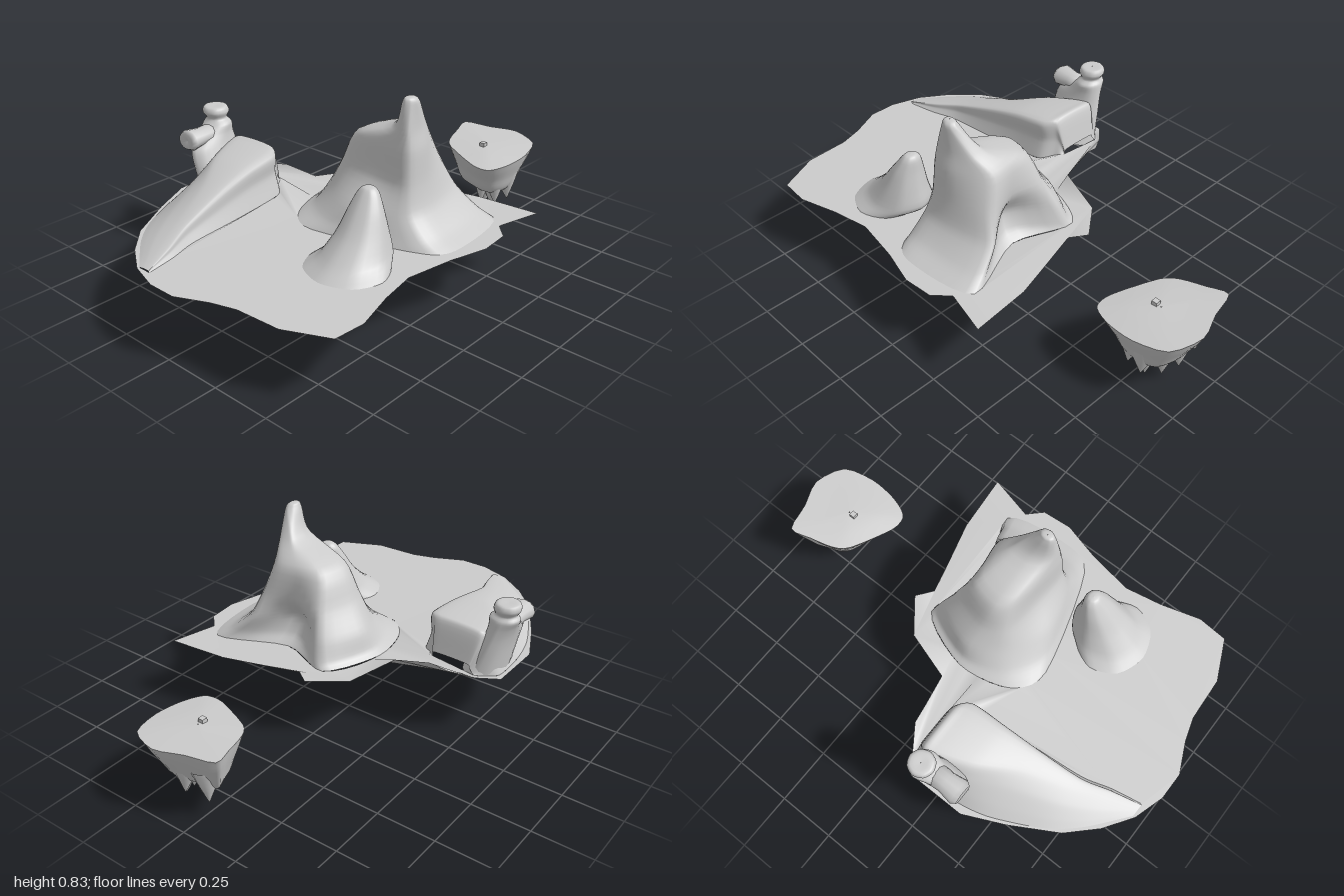
import * as THREE from 'three';

const material = new THREE.MeshStandardMaterial({ color: 0xcccccc, side: THREE.DoubleSide });
const BASE = 0.285;
const V = (x, y, z) => new THREE.Vector3(x, y, z);

// The ground lifts slightly along its back right edge
function groundY(x, z) {
  return BASE + 0.06 * Math.exp(-(x ** 2 + (z + 0.36) ** 2) / 0.03)
    + 0.018 * Math.exp(-((x - 0.28) ** 2 + (z + 0.05) ** 2) / 0.03);
}

function smoothRow(points, closed, n) {
  const curve = new THREE.CatmullRomCurve3(points, closed, 'catmullrom', 0.4);
  const row = curve.getPoints(n);
  if (closed) row.pop();
  return row;
}

// Smooth surface through rings (or open sections); returns its resampled rows
function addLoft(group, name, rings, closed = true, around = 32, along = 20) {
  const coarse = rings.map((r) => smoothRow(r, closed, around));
  const columns = coarse[0].map((_, i) => smoothRow(coarse.map((r) => r[i]), false, along));
  const rows = columns[0].map((_, j) => columns.map((c) => c[j]));
  const n = columns.length;
  const index = [];
  for (let j = 0; j < rows.length - 1; j++) {
    for (let i = 0; i < (closed ? n : n - 1); i++) {
      const k = (i + 1) % n;
      const a = j * n + i, b = j * n + k, c = a + n, d = b + n;
      index.push(a, c, b, b, c, d);
    }
  }
  const geometry = new THREE.BufferGeometry().setFromPoints(rows.flat());
  geometry.setIndex(index);
  geometry.computeVertexNormals();
  addMesh(group, name, geometry);
  return rows;
}

function addMesh(group, name, geometry) {
  const mesh = new THREE.Mesh(geometry, material);
  mesh.name = name;
  group.add(mesh);
  return mesh;
}

const ring = (y, pts) => pts.map(([x, z]) => V(x, y, z));
function ellipse(y, cx, cz, rx, rz, n = 8) {
  return Array.from({ length: n }, (_, i) => {
    const a = (i / n) * Math.PI * 2;
    return V(cx + rx * Math.cos(a), y, cz + rz * Math.sin(a));
  });
}

export function createModel() {
  const model = new THREE.Group();
  const land = new THREE.Group();
  land.name = 'land';
  model.add(land);

  // Main mountain: contours with a flared foot, a scooped right flank and a spur
  const foot = [[0.13, 0.22], [0.24, 0.52], [-0.02, 0.58], [-0.18, 0.52], [-0.32, 0.06], [-0.24, -0.09], [-0.02, -0.14], [0.22, -0.03]];
  const mountain = addLoft(land, 'mainMountain', [
    foot.map(([x, z]) => V(x, groundY(x, z), z)),
    ring(0.325, [[0.085, 0.215], [0.215, 0.455], [-0.02, 0.5], [-0.18, 0.465], [-0.28, 0.12], [-0.19, -0.05], [-0.01, -0.11], [0.21, -0.005]]),
    ring(0.4, [[0.06, 0.205], [0.185, 0.375], [-0.03, 0.43], [-0.17, 0.405], [-0.235, 0.18], [-0.15, 0.0], [0, -0.08], [0.18, 0.02]]),
    ring(0.5, [[0.11, 0.2], [0.14, 0.34], [-0.03, 0.4], [-0.145, 0.385], [-0.15, 0.22], [-0.12, 0.04], [-0.02, -0.01], [0.13, 0.05]]),
    ring(0.63, [[0.1, 0.19], [0.1, 0.3], [-0.03, 0.385], [-0.135, 0.375], [-0.13, 0.22], [-0.1, 0.1], [-0.04, 0.06], [0.07, 0.09]]),
    ring(0.71, [[0.035, 0.27], [0.03, 0.33], [-0.04, 0.37], [-0.12, 0.37], [-0.125, 0.32], [-0.1, 0.28], [-0.05, 0.255], [0.01, 0.255]]),
    ellipse(0.81, -0.07, 0.337, 0.04, 0.03),
    ellipse(0.832, -0.075, 0.337, 0.025, 0.018),
    ellipse(0.836, -0.075, 0.337, 0.001, 0.001),
  ], true, 40, 36);

  // Small peak, leaning into the mountain's flank
  const peak = addLoft(land, 'smallPeak', [
    ellipse(BASE, -0.45, 0.36, 0.15, 0.17),
    ellipse(0.325, -0.4, 0.36, 0.145, 0.13),
    ellipse(0.4, -0.365, 0.36, 0.1, 0.097),
    ellipse(0.48, -0.34, 0.355, 0.062, 0.07),
    ellipse(0.535, -0.322, 0.35, 0.038, 0.045),
    ellipse(0.556, -0.318, 0.35, 0.022, 0.025),
    ellipse(0.56, -0.318, 0.35, 0.001, 0.001),
  ]);

  // Ridge: sections [x, front z, back z, top y, flat share], steep in front, sloping behind
  const ridge = addLoft(land, 'ridge', [
    [-0.95, -0.14, -0.2, 0.29, 0.3], [-0.82, -0.165, -0.36, 0.32, 0.3], [-0.7, -0.2, -0.46, 0.35, 0.3],
    [-0.5, -0.22, -0.56, 0.41, 0.4], [-0.35, -0.235, -0.595, 0.45, 0.6], [-0.2, -0.25, -0.6, 0.473, 0.75],
    [-0.15, -0.3, -0.565, 0.468, 0.8], [-0.115, -0.32, -0.53, 0.34, 0.8],
  ].map(([x, f, b, h, s]) => {
    const at = (rise, t) => V(x, BASE + (h - BASE) * rise, f + (b - f) * t);
    return [
      V(x, groundY(x, f), f), at(0.5, 0.07), at(1, 0.1), at(1, s),
      at(0.75, s + 0.4 * (1 - s)), at(0.35, s + 0.75 * (1 - s)), V(x, groundY(x, b), b),
    ];
  }), false, 36, 42);

  // Rock tower rising from the ridge end, with a flared cap and a side knob
  addLoft(land, 'rockTower', [
    ellipse(BASE, -0.25, -0.51, 0.13, 0.085),
    ellipse(0.4, -0.26, -0.55, 0.125, 0.064),
    ellipse(0.46, -0.26, -0.57, 0.115, 0.058),
    ellipse(0.505, -0.235, -0.583, 0.082, 0.058),
    ellipse(0.54, -0.215, -0.592, 0.056, 0.063),
    ellipse(0.56, -0.215, -0.597, 0.042, 0.045),
    ellipse(0.585, -0.215, -0.6, 0.056, 0.056),
    ellipse(0.608, -0.215, -0.602, 0.046, 0.046),
    ellipse(0.608, -0.215, -0.602, 0.001, 0.001),
  ], true, 24, 30);
  const knob = addMesh(land, 'sideKnob', new THREE.LatheGeometry(
    [[0, 0.01], [0.042, 0], [0.055, 0.02], [0.045, 0.08], [0.05, 0.16], [0, 0.16]].map(([r, y]) => new THREE.Vector2(r, y)), 12));
  knob.rotation.z = -Math.PI / 2;
  knob.scale.x = 0.8;
  knob.position.set(-0.398, 0.502, -0.585);

  // Ground sheet, open under the mountains
  const outline = [
    [-0.17, -0.62], [-0.1, -0.54], [-0.04, -0.45], [-0.03, -0.37], [0, -0.23], [0.21, -0.16], [0.32, -0.02],
    [0.27, 0.05], [0.31, 0.2], [0.36, 0.38], [0.385, 0.635], [0.19, 0.585], [0.13, 0.645], [0, 0.655],
    [-0.16, 0.61], [-0.36, 0.575], [-0.52, 0.605], [-0.69, 0.655], [-0.82, 0.645], [-0.9, 0.47], [-0.91, 0.28],
    [-0.94, 0.18], [-1, 0.05], [-1, -0.07], [-0.96, -0.2], [-0.88, -0.32], [-0.77, -0.43], [-0.58, -0.54], [-0.41, -0.62],
  ];
  const sheet = new THREE.Shape(outline.map(([x, z]) => new THREE.Vector2(x, -z)));
  const ridgeFoot = [...ridge.map((r) => r[0]), ...ridge.map((r) => r[r.length - 1]).reverse()];
  for (const edge of [mountain[0], peak[0], ridgeFoot]) {
    sheet.holes.push(new THREE.Path(edge.map((p) => new THREE.Vector2(p.x, -p.z))));
  }
  const ground = new THREE.ShapeGeometry(sheet);
  ground.rotateX(-Math.PI / 2);
  const pos = ground.attributes.position;
  for (let i = 0; i < pos.count; i++) pos.setY(i, groundY(pos.getX(i), pos.getZ(i)));
  ground.computeVertexNormals();
  addMesh(land, 'groundSheet', ground);

  // Floating island: shrinking copies of one rim
  const island = new THREE.Group();
  island.name = 'floatingIsland';
  model.add(island);
  const rim = [
    [0.93, -0.12], [0.84, -0.1], [0.74, -0.07], [0.68, -0.02], [0.6, 0.16], [0.6, 0.235], [0.64, 0.265],
    [0.71, 0.285], [0.82, 0.29], [0.95, 0.25], [1, 0.12], [0.96, 0],
  ];
  const layer = (sx, sz, y, tilt = 0) => rim.map(([x, z]) =>
    V(0.79 + (x - 0.79) * sx, y + tilt * (x - 0.79 - 0.6 * (z - 0.1)), 0.1 + (z - 0.1) * sz));
  addLoft(island, 'islandTop', [layer(1, 1, 0.306, 0.08), layer(0.5, 0.5, 0.312, 0.03), layer(0.01, 0.01, 0.316)], true, 36, 6);
  addLoft(island, 'islandBody', [
    layer(1, 1, 0.306, 0.08), layer(0.88, 0.92, 0.26, 0.04), layer(0.7, 0.8, 0.2),
    layer(0.57, 0.71, 0.15), layer(0.4, 0.56, 0.12), layer(0.01, 0.01, 0.12),
  ], true, 36, 16);

  // Hanging rock spikes, broad at the root: [tip x, tip y, tip z, radius]
  [
    [0.785, 0.003, 0.155, 0.075], [0.8, 0.01, 0.1, 0.07], [0.845, 0.03, 0.13, 0.075], [0.735, 0.065, 0.2, 0.065],
    [0.74, 0.045, 0.12, 0.06], [0.81, 0.07, 0.215, 0.07], [0.82, 0.08, 0.03, 0.07], [0.88, 0.075, -0.02, 0.065],
    [0.89, 0.075, 0.09, 0.065],
  ].forEach(([x, y, z, r]) => {
    const cx = 0.79 + (x - 0.79) * 0.8, cz = 0.1 + (z - 0.1) * 0.8;
    addLoft(island, 'rockSpike', [
      ellipse(0.22, cx, cz, r, r, 6), ellipse((0.22 + y) / 2, (cx + x) / 2, (cz + z) / 2, r * 0.55, r * 0.55, 6),
      ellipse(y, x, z, 0.002, 0.002, 6),
    ], true, 12, 6);
  });
  addMesh(island, 'smallBlock', new THREE.BoxGeometry(0.024, 0.024, 0.024)).position.set(0.765, 0.318, 0.1);

  return model;
}
